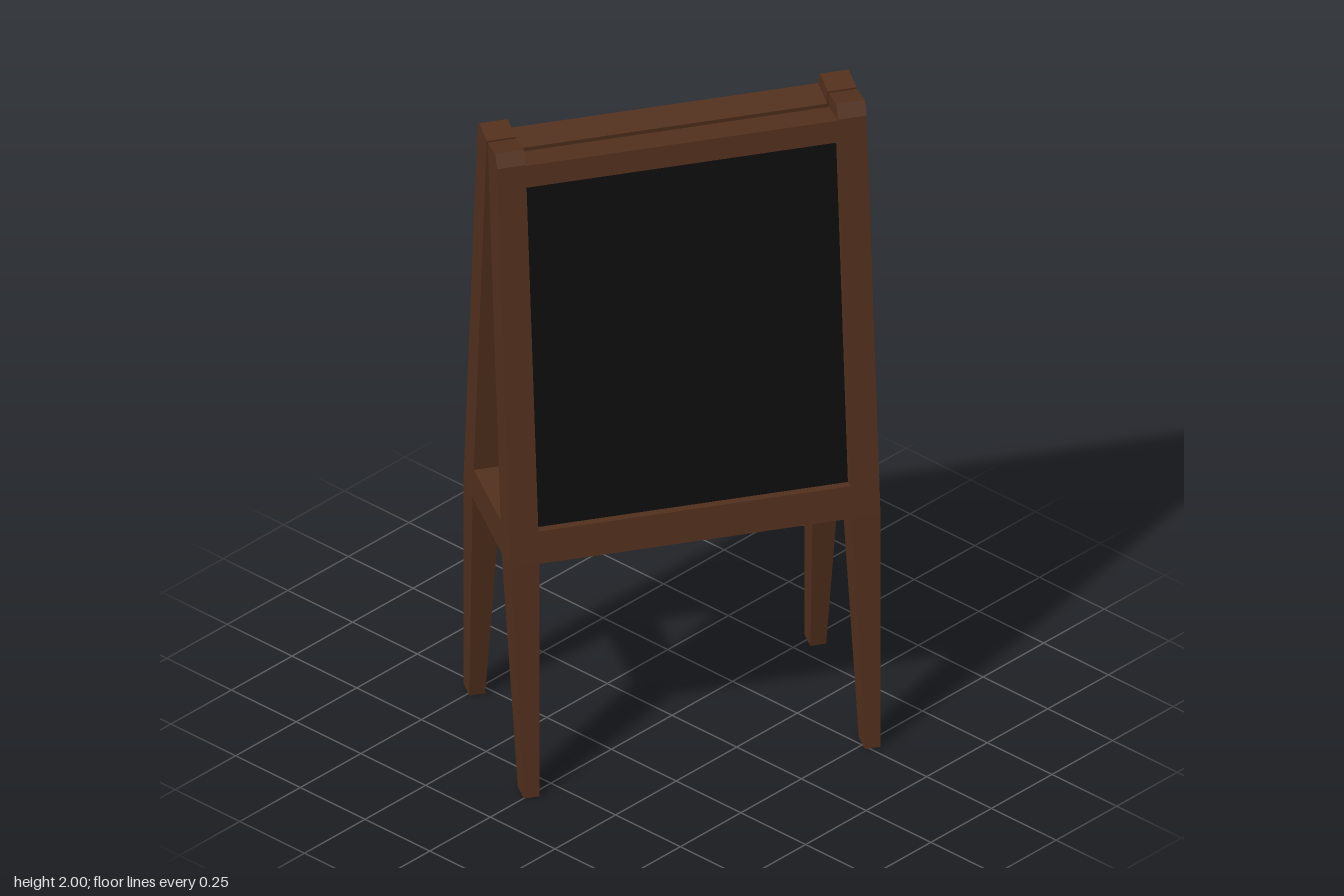
import * as THREE from 'three';

const wood = new THREE.MeshStandardMaterial({ color: 0x53301d, flatShading: true });
const slate = new THREE.MeshStandardMaterial({ color: 0x0d0d0d, flatShading: true });

const SLOPE = 0.1175;   // lean of each panel
const DEPTH = 0.097;    // frame thickness
const LEG_Z = 0.499;    // leg centre line
const HALF = 0.042;     // half leg thickness
const INNER = LEG_Z - HALF;

// Point on the leaning panel: height y on the outer face, d measured inwards
const at = (y, d) => [0.25 - SLOPE * (y - 0.725) - d * 0.993, y - SLOPE * d];

// Four-sided loft; each section is { out: [x, y], inn: [x, y], z0, z1 }, bottom to top
function loft(name, sections, material) {
  const rings = sections.map(({ out, inn, z0, z1 }) => [
    [...out, z0], [...out, z1], [...inn, z1], [...inn, z0],
  ]);
  const pos = [];
  const quad = (a, b, c, d) => pos.push(...a, ...b, ...c, ...a, ...c, ...d);
  for (let s = 0; s < rings.length - 1; s++) {
    for (let i = 0; i < 4; i++) {
      const j = (i + 1) % 4;
      quad(rings[s][i], rings[s + 1][i], rings[s + 1][j], rings[s][j]);
    }
  }
  quad(...rings[0]);
  quad(...[...rings[rings.length - 1]].reverse());
  const geo = new THREE.BufferGeometry();
  geo.setAttribute('position', new THREE.Float32BufferAttribute(pos, 3));
  geo.computeVertexNormals();
  const mesh = new THREE.Mesh(geo, material);
  mesh.name = name;
  return mesh;
}

// Slab lying in the leaning panel, between two heights and two depths
function slab(name, y0, y1, d0, d1, material) {
  const section = (y) => ({ out: at(y, d0), inn: at(y, d1), z0: -INNER, z1: INNER });
  return loft(name, [section(y0), section(y1)], material);
}

// Leg with a tapered foot and a clipped outer top corner
function leg(side) {
  const z = side * LEG_Z;
  const section = (out, inn, half) => ({ out, inn, z0: z - half, z1: z + half });
  return loft('leg', [
    section([0.32, 0], [0.255, 0], 0.023),
    section(at(0.725, 0), at(0.725, DEPTH), HALF),
    section(at(1.96, 0), at(1.96, DEPTH), HALF),
    section([0.085, 2], at(2, DEPTH), HALF),
  ], wood);
}

function panel() {
  const g = new THREE.Group();
  g.name = 'panel';
  g.add(
    leg(1), leg(-1),
    slab('topRail', 1.89, 1.957, 0, DEPTH, wood),
    slab('bottomRail', 0.725, 0.825, 0, DEPTH, wood),
    slab('backing', 0.825, 1.89, 0.036, DEPTH, wood),
    slab('writingBoard', 0.825, 1.89, 0.03, 0.036, slate),
  );
  return g;
}

// Brace joining the two legs at one end
function brace(side) {
  const z = side * LEG_Z;
  const section = (y, x) => ({ out: [x, y], inn: [-x, y], z0: z - HALF, z1: z + HALF });
  return loft('endBrace', [section(0.717, 0.154), section(0.818, 0.142)], wood);
}

export function createModel() {
  const model = new THREE.Group();
  model.name = 'sandwichBoard';
  const front = panel();
  const back = panel();
  back.rotation.y = Math.PI;
  model.add(front, back, brace(1), brace(-1));
  model.rotation.y = THREE.MathUtils.degToRad(-31.4);
  return model;
}
